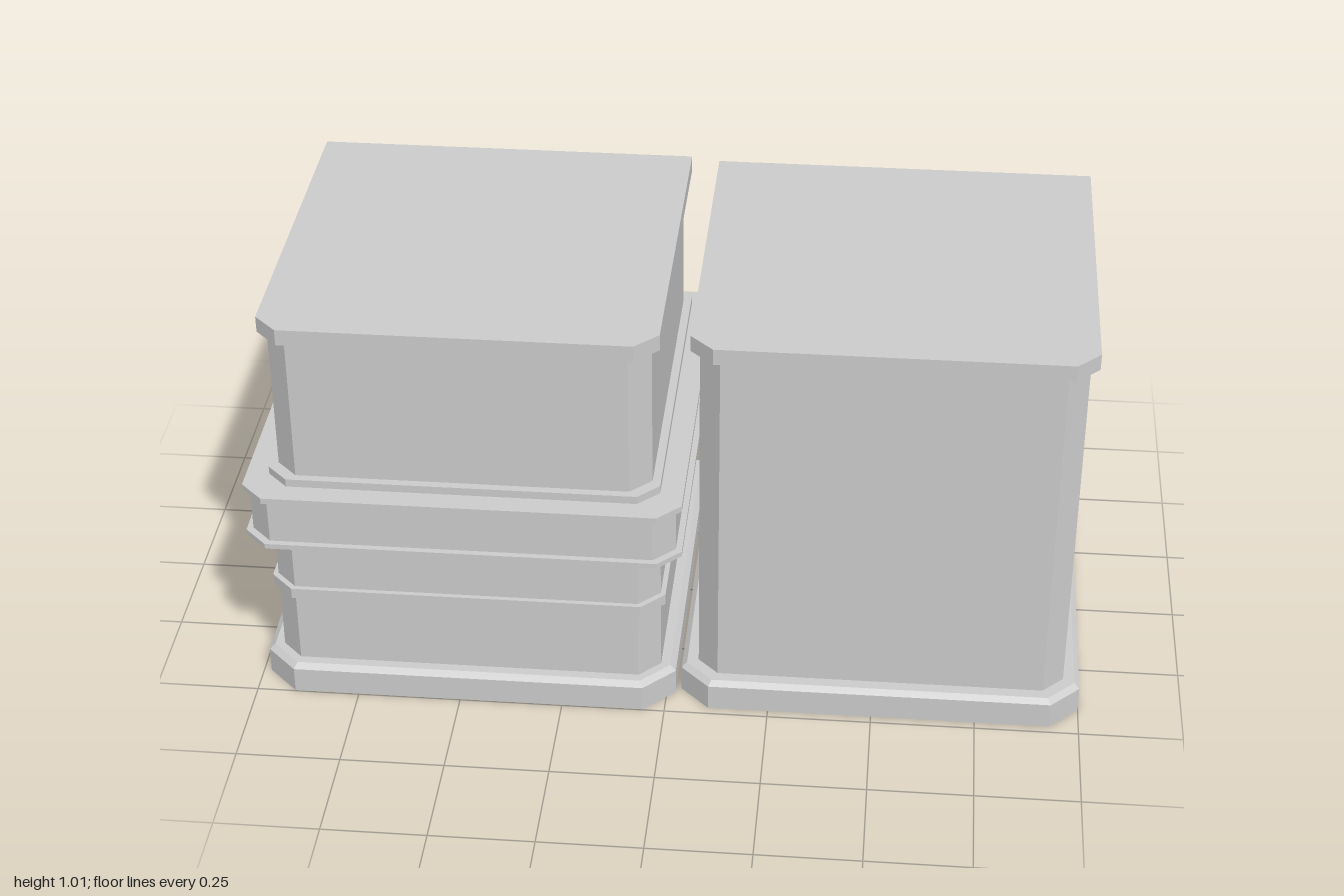
import * as THREE from 'three';

const material = new THREE.MeshStandardMaterial({ color: 0xcccccc, flatShading: true, side: THREE.DoubleSide });

// Square outline with chamfered front corners and sharp back corners
function outline([y, half, chamfer = 0.05], depthTrim) {
  const f = half - depthTrim, b = -half + depthTrim, c = chamfer;
  return [[half, b], [-half, b], [-half, f - c], [-half + c, f], [half - c, f], [half, f - c]]
    .map(([x, z]) => new THREE.Vector3(x, y, z));
}

// Thin shell through rows of [height, half width, chamfer], open below
function shell(name, rows, depthTrim, capped = false) {
  const loops = rows.map((row) => outline(row, depthTrim));
  const points = [];
  for (let i = 0; i + 1 < loops.length; i++) {
    const lo = loops[i], hi = loops[i + 1];
    for (let k = 0; k < lo.length; k++) {
      const n = (k + 1) % lo.length;
      points.push(lo[k], lo[n], hi[n], lo[k], hi[n], hi[k]);
    }
  }
  if (capped) {
    const top = loops[loops.length - 1];
    for (let k = 1; k + 1 < top.length; k++) points.push(top[0], top[k], top[k + 1]);
  }
  const geometry = new THREE.BufferGeometry().setFromPoints(points);
  geometry.computeVertexNormals();
  const mesh = new THREE.Mesh(geometry, material);
  mesh.name = name;
  return mesh;
}

// Projecting strip between two heights, stepping out from and back to the walls
const band = (y0, y1, half, below, above, c) => [[y0, below], [y0, half, c], [y1, half, c], [y1, above]];

export function createModel() {
  const model = new THREE.Group();
  model.name = 'pedestalPair';

  // Plain pedestal
  const plain = new THREE.Group();
  plain.name = 'plainPedestal';
  plain.position.set(0.5175, 0, 0.0075);
  const t = 0.012;
  plain.add(
    shell('plinth', [[0, 0.4825, 0.07], [0.065, 0.4825, 0.07], [0.077, 0.47, 0.065], [0.077, 0.4425]], t),
    shell('walls', [[0.077, 0.4425], [0.97, 0.4425]], t),
    shell('lid', [[0.97, 0.4425], [0.97, 0.4625, 0.055], [1.01, 0.4625, 0.055]], t, true),
  );

  // Banded pedestal
  const banded = new THREE.Group();
  banded.name = 'bandedPedestal';
  banded.position.set(-0.48, 0, 0);
  const s = 0.004;
  banded.add(
    shell('plinth', [[0, 0.502, 0.075], [0.065, 0.502, 0.075], [0.077, 0.488, 0.068], [0.077, 0.465]], s),
    shell('lowerWalls', [[0.077, 0.465], [0.263, 0.465]], s),
    shell('lowerBand', band(0.263, 0.29, 0.477, 0.465, 0.465, 0.055), s),
    shell('middleWalls', [[0.29, 0.465], [0.437, 0.465]], s),
    shell('beltLowerRim', band(0.437, 0.45, 0.52, 0.465, 0.505, 0.055), s),
    shell('belt', [[0.45, 0.505], [0.565, 0.505]], s),
    shell('beltUpperRim', band(0.565, 0.58, 0.52, 0.505, 0.465, 0.055), s),
    shell('collar', [[0.58, 0.465], [0.6, 0.465], [0.6, 0.445]], s),
    shell('upperWalls', [[0.6, 0.445], [0.97, 0.445]], s),
    shell('lid', [[0.97, 0.445], [0.97, 0.465, 0.055], [1.01, 0.465, 0.055]], s, true),
  );

  model.add(plain, banded);
  return model;
}
